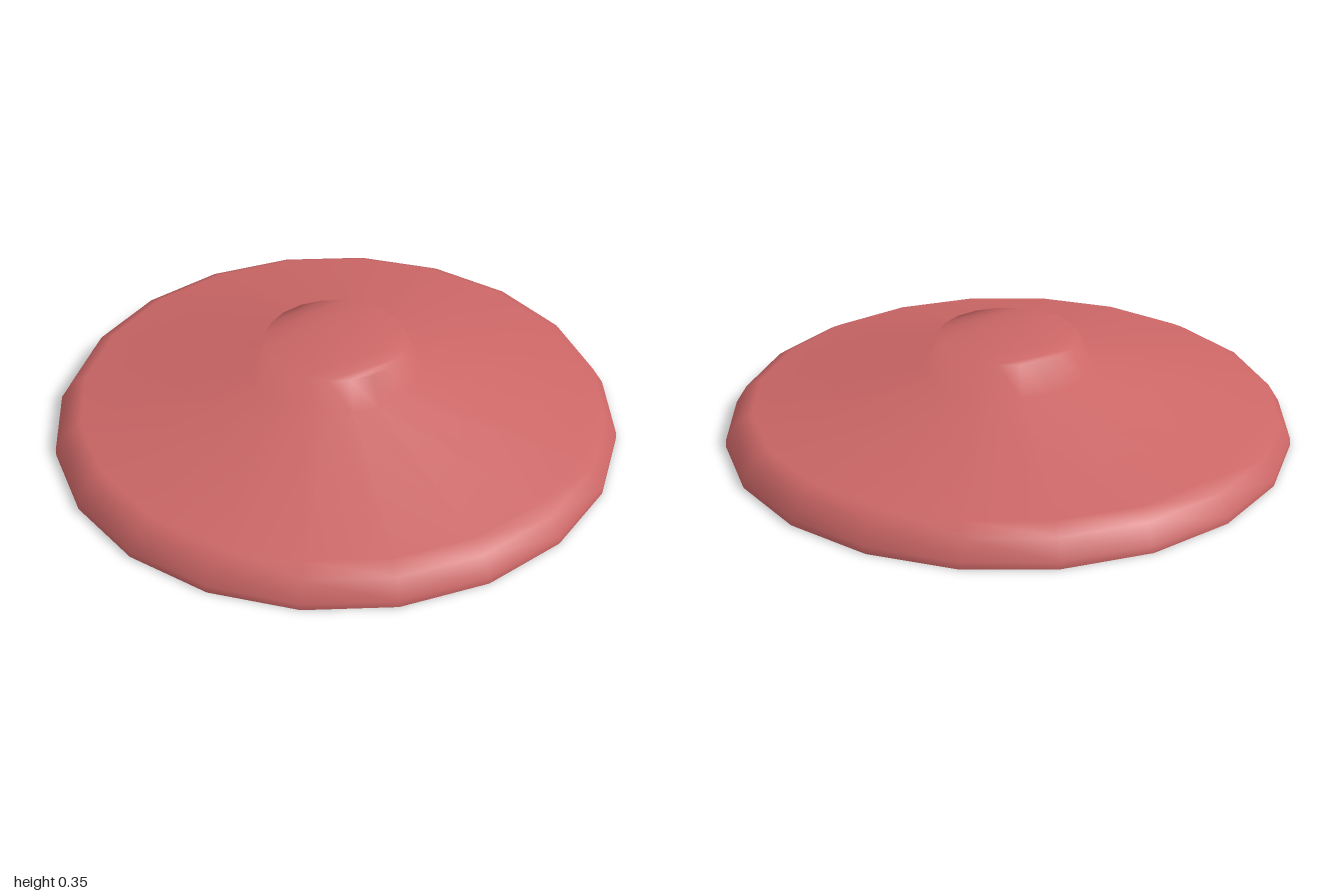
import * as THREE from 'three';

const SIDES = 20;

// Profile of the shade from the neck down to the rim: [radius, height]
const PROFILE = [
  [0.25, 0.355],
  [0.30, 0.25],
  [0.905, 0.12],
  [0.96, 0.09],
  [1.0, 0.025],
  [1.0, 0.0],
];

// Thin 20-sided shell with welded smooth normals, closed at the top and open below
function shadeGeometry() {
  const positions = [];
  const index = [];

  // Rings of the shell
  for (const [radius, y] of PROFILE) {
    for (let i = 0; i < SIDES; i++) {
      const a = (i / SIDES) * Math.PI * 2;
      positions.push(radius * Math.cos(a), y, radius * Math.sin(a));
    }
  }

  // Bands between neighbouring rings
  for (let r = 0; r < PROFILE.length - 1; r++) {
    for (let i = 0; i < SIDES; i++) {
      const j = (i + 1) % SIDES;
      const a = r * SIDES + i, b = r * SIDES + j;
      const c = a + SIDES, d = b + SIDES;
      index.push(a, b, c, b, d, c);
    }
  }

  // Flat cap laid out in parallel strips, sharing the neck's vertices
  const wrap = (i) => (i + SIDES) % SIDES;
  for (let k = 0; k < SIDES / 2 - 1; k++) {
    const a = wrap(4 + k), b = wrap(3 + k), c = wrap(2 - k), d = wrap(1 - k);
    index.push(a, b, c, a, c, d);
  }

  const geometry = new THREE.BufferGeometry();
  geometry.setAttribute('position', new THREE.Float32BufferAttribute(positions, 3));
  geometry.setIndex(index);
  geometry.computeVertexNormals();
  return geometry;
}

export function createModel() {
  const group = new THREE.Group();
  group.name = 'shallowShade';
  const material = new THREE.MeshStandardMaterial({ color: 0xcc6666, side: THREE.DoubleSide });
  const shade = new THREE.Mesh(shadeGeometry(), material);
  shade.name = 'shade';
  group.add(shade);
  return group;
}
